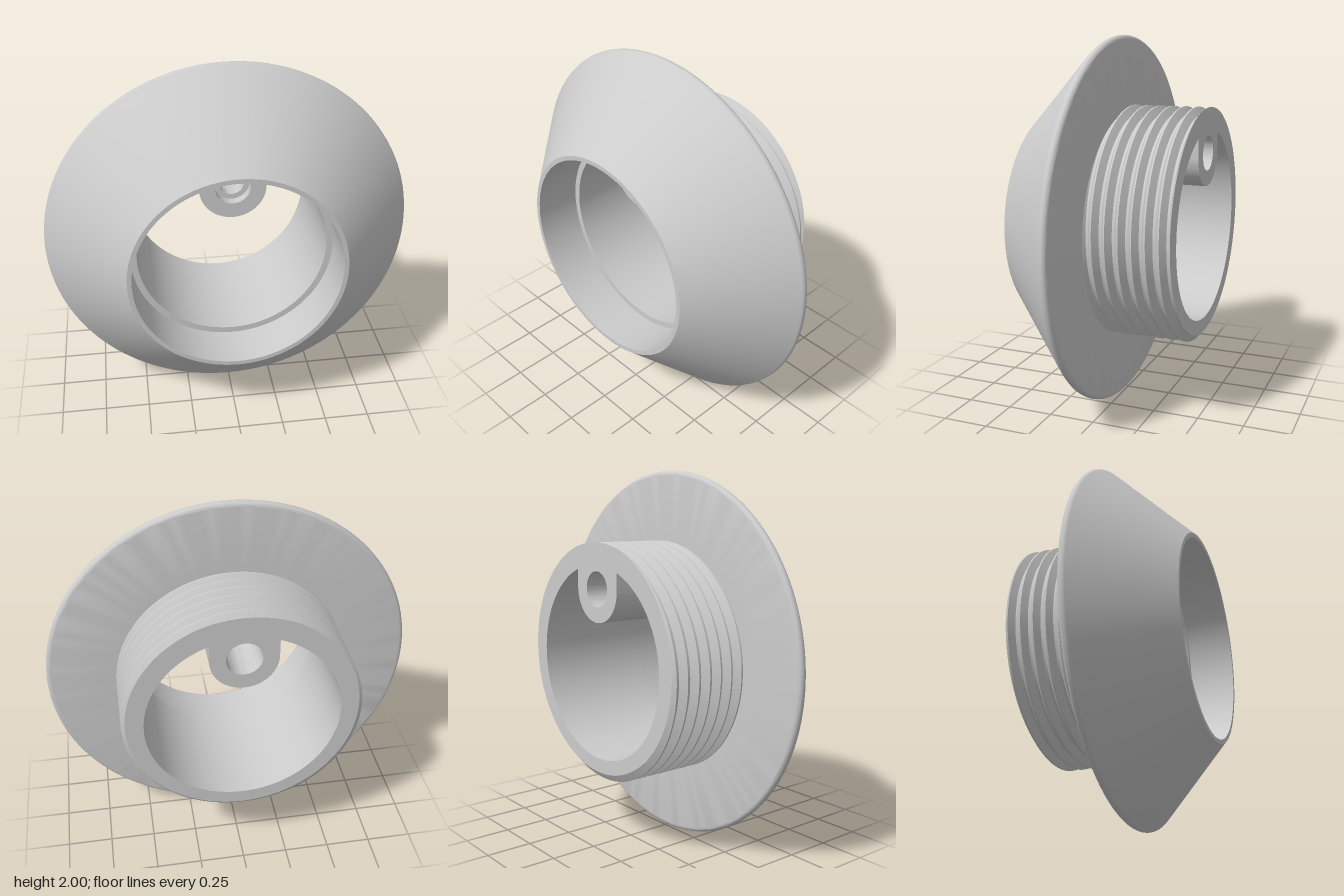
import * as THREE from 'three';
import { toCreasedNormals } from 'three/addons/utils/BufferGeometryUtils.js';

const BACK = -0.455, FRONT = 0.455, STEP = 0.2, BORE = 0.515;
const material = new THREE.MeshStandardMaterial({ color: 0xcccccc });

function part(name, geometry) {
  const mesh = new THREE.Mesh(toCreasedNormals(geometry, 0.5), material);
  mesh.name = name;
  return mesh;
}

// Lathe around the z axis; points are [radius, z]
function turned(points, segments) {
  const profile = points.map(([r, z]) => new THREE.Vector2(r, z));
  return new THREE.LatheGeometry(profile, segments).rotateX(Math.PI / 2);
}

// Conical flange with rounded rim, stepped front recess and bore
function flangeGeometry() {
  const points = [[0.58, 0]];
  for (let i = 0; i <= 8; i++) {
    const a = -Math.PI / 2 + (i / 8) * Math.PI * 0.75;
    points.push([0.975 + 0.025 * Math.cos(a), 0.025 + 0.025 * Math.sin(a)]);
  }
  points.push([0.574, FRONT], [0.55, FRONT], [0.55, STEP], [BORE, STEP], [BORE, BACK]);
  return turned(points, 128);
}

// Helical thread, cut off flat at the flange and at the back end
function threadGeometry() {
  const pitch = 0.07, offset = -0.0525, segments = 128;
  const crest = 0.63, root = 0.592, crestHalf = 0.06, rootHalf = 0.09;
  const radiusAt = (phase) => {
    const d = Math.abs(phase - Math.round(phase));
    const t = (d - crestHalf) / (0.5 - rootHalf - crestHalf);
    return THREE.MathUtils.lerp(crest, root, THREE.MathUtils.clamp(t, 0, 1));
  };
  const rows = [];
  for (let k = 2; k >= -8; k--) {
    for (const f of [crestHalf, -crestHalf, rootHalf - 0.5, -0.5 - rootHalf]) rows.push(k + f);
  }
  rows.push(null); // inner edge of the back face
  const positions = [], index = [], across = segments + 1;
  for (const row of rows) {
    for (let i = 0; i <= segments; i++) {
      const turn = i / segments, angle = turn * Math.PI * 2;
      let z = BACK, r = BORE;
      if (row !== null) {
        z = THREE.MathUtils.clamp(offset + pitch * (row + turn), BACK, 0);
        r = radiusAt((z - offset) / pitch - turn);
      }
      positions.push(r * Math.cos(angle), r * Math.sin(angle), z);
    }
  }
  for (let j = 0; j < rows.length - 1; j++) {
    for (let i = 0; i < segments; i++) {
      const a = j * across + i, b = a + 1, c = a + across, d = c + 1;
      const z = [a, b, c, d].map((v) => positions[v * 3 + 2]);
      const flat = z.every((v) => v === z[0]);
      if (flat && rows[j + 1] !== null) continue;
      index.push(a, c, b, b, c, d);
    }
  }
  const geometry = new THREE.BufferGeometry();
  geometry.setAttribute('position', new THREE.Float32BufferAttribute(positions, 3));
  geometry.setIndex(index);
  return geometry;
}

// U-shaped screw boss along the top of the bore
function bossGeometry() {
  const radius = 0.175, y = 0.39, a = Math.acos(radius / BORE);
  const shape = new THREE.Shape();
  shape.absarc(0, y, radius, Math.PI, Math.PI * 2, false);
  shape.absarc(0, 0, BORE, a, Math.PI - a, false);
  shape.closePath();
  const hole = new THREE.Path();
  hole.absarc(0, y, 0.093, 0, Math.PI * 2, true);
  shape.holes.push(hole);
  return new THREE.ExtrudeGeometry(shape, { depth: STEP - BACK, bevelEnabled: false, curveSegments: 32 })
    .translate(0, 0, BACK);
}

// Narrow collar inside the screw hole
function collarGeometry() {
  return turned([[0.094, 0.1], [0.094, 0.15], [0.065, 0.15], [0.065, 0.1], [0.094, 0.1]], 48)
    .translate(0, 0.39, 0);
}

export function createModel() {
  const group = new THREE.Group();
  group.name = 'threadedFlange';
  group.add(
    part('flangeAndBore', flangeGeometry()),
    part('thread', threadGeometry()),
    part('screwBoss', bossGeometry()),
    part('screwHoleCollar', collarGeometry()),
  );
  group.children.forEach((mesh) => { mesh.position.y = 1; });
  return group;
}
